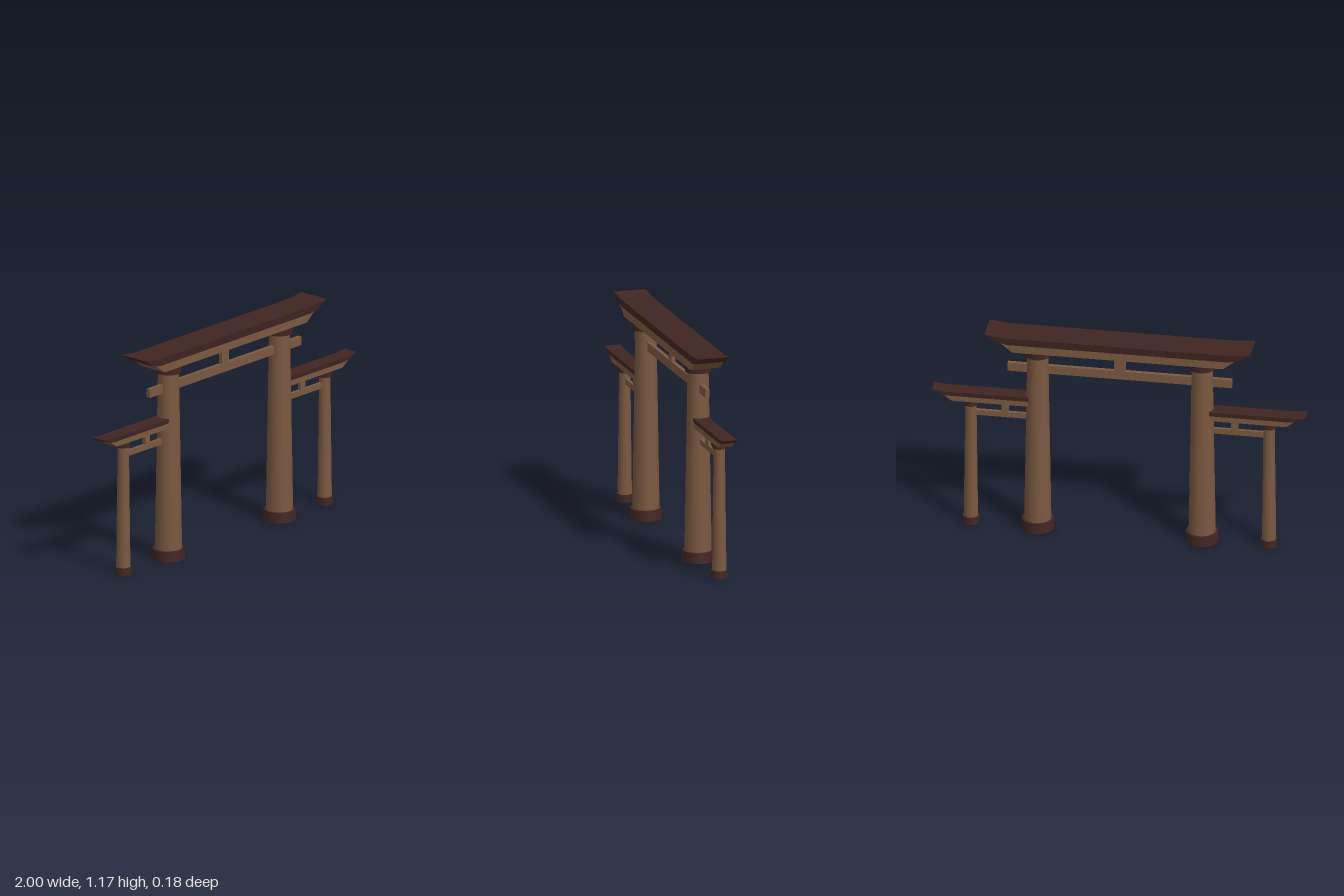
import * as THREE from 'three';

const wood = new THREE.MeshStandardMaterial({ color: 0x7a5840, roughness: 0.9 });
const dark = new THREE.MeshStandardMaterial({ color: 0x412522, roughness: 0.9 });

function add(parent, name, geometry, material, x = 0, y = 0, z = 0) {
  const mesh = new THREE.Mesh(geometry, material);
  mesh.name = name;
  mesh.position.set(x, y, z);
  parent.add(mesh);
  return mesh;
}

// Box given by its x and y ranges and its depth
function bar(parent, name, x0, x1, y0, y1, depth) {
  add(parent, name, new THREE.BoxGeometry(x1 - x0, y1 - y0, depth), wood, (x0 + x1) / 2, (y0 + y1) / 2);
}

// Upright drum between two heights
function drum(parent, name, material, x, y0, y1, rBottom, rTop) {
  add(parent, name, new THREE.CylinderGeometry(rTop, rBottom, y1 - y0, 24), material, x, (y0 + y1) / 2);
}

// Beam lofted along x; sections are [xBottom, yBottom, xTop, yTop] with x increasing
function beamGeometry(sections, zBottom, zTop) {
  const rings = sections.map(([xb, yb, xt, yt]) => [
    [xb, yb, zBottom], [xb, yb, -zBottom], [xt, yt, -zTop], [xt, yt, zTop],
  ]);
  const pos = [];
  const quad = (a, b, c, d) => pos.push(...a, ...b, ...c, ...a, ...c, ...d);
  for (let i = 0; i < rings.length - 1; i++) {
    for (let j = 0; j < 4; j++) {
      const k = (j + 3) % 4;
      quad(rings[i][j], rings[i + 1][j], rings[i + 1][k], rings[i][k]);
    }
  }
  const first = rings[0], last = rings[rings.length - 1];
  quad(last[0], last[1], last[2], last[3]);
  quad(first[3], first[2], first[1], first[0]);
  const g = new THREE.BufferGeometry();
  g.setAttribute('position', new THREE.Float32BufferAttribute(pos, 3));
  g.computeVertexNormals();
  return g;
}

// Complete a right half of sections with its mirror image
function mirrored(half) {
  return [...half.map(([xb, yb, xt, yt]) => [-xb, yb, -xt, yt]).reverse(), ...half];
}

// Column with foot and collar
function column(parent, name, x, s) {
  const g = new THREE.Group();
  g.name = name;
  drum(g, 'foot', dark, x, 0, s.footTop, s.footR, s.footR * 0.97);
  drum(g, 'shaft', wood, x, s.footTop, s.collarY, s.rBottom, s.rTop);
  drum(g, 'collar', dark, x, s.collarY, s.top, s.collarR * 0.97, s.collarR);
  parent.add(g);
}

export function createModel() {
  const model = new THREE.Group();
  model.name = 'gateway';

  // Main gate
  const mainSize = { footTop: 0.057, footR: 0.088, rBottom: 0.072, rTop: 0.056, collarY: 1.035, collarR: 0.072, top: 1.078 };
  column(model, 'leftMainColumn', 0.44, mainSize);
  column(model, 'rightMainColumn', -0.44, mainSize);
  bar(model, 'mainTieBeam', -0.6, 0.6, 0.928, 0.976, 0.022);
  bar(model, 'mainStrut', -0.029, 0.029, 0.976, 1.078, 0.022);
  add(model, 'mainLintel', beamGeometry(mirrored([
    [0.54, 1.077, 0.59, 1.12], [0.565, 1.078, 0.63, 1.13],
  ]), 0.082, 0.082), wood);
  add(model, 'mainRoof', beamGeometry(mirrored([
    [0.59, 1.12, 0.61, 1.162], [0.66, 1.135, 0.712, 1.174],
  ]), 0.082, 0.087), dark);

  // Low wing gates on both sides, the second turned half round
  const wingSize = { footTop: 0.04, footR: 0.046, rBottom: 0.038, rTop: 0.03, collarY: 0.706, collarR: 0.038, top: 0.736 };
  for (const name of ['leftWing', 'rightWing']) {
    const wing = new THREE.Group();
    wing.name = name;
    if (name === 'rightWing') wing.rotation.y = Math.PI;
    column(wing, 'wingColumn', 0.798, wingSize);
    bar(wing, 'wingTieBeam', 0.46, 0.79, 0.646, 0.677, 0.018);
    bar(wing, 'wingStrut', 0.595, 0.634, 0.677, 0.737, 0.018);
    add(wing, 'wingLintel', beamGeometry([
      [0.478, 0.736, 0.478, 0.765], [0.88, 0.736, 0.92, 0.765], [0.897, 0.737, 0.94, 0.77],
    ], 0.04, 0.04), wood);
    add(wing, 'wingRoof', beamGeometry([
      [0.478, 0.765, 0.478, 0.79], [0.92, 0.765, 0.94, 0.79], [0.965, 0.775, 1.0, 0.798],
    ], 0.04, 0.043), dark);
    model.add(wing);
  }
  return model;
}
